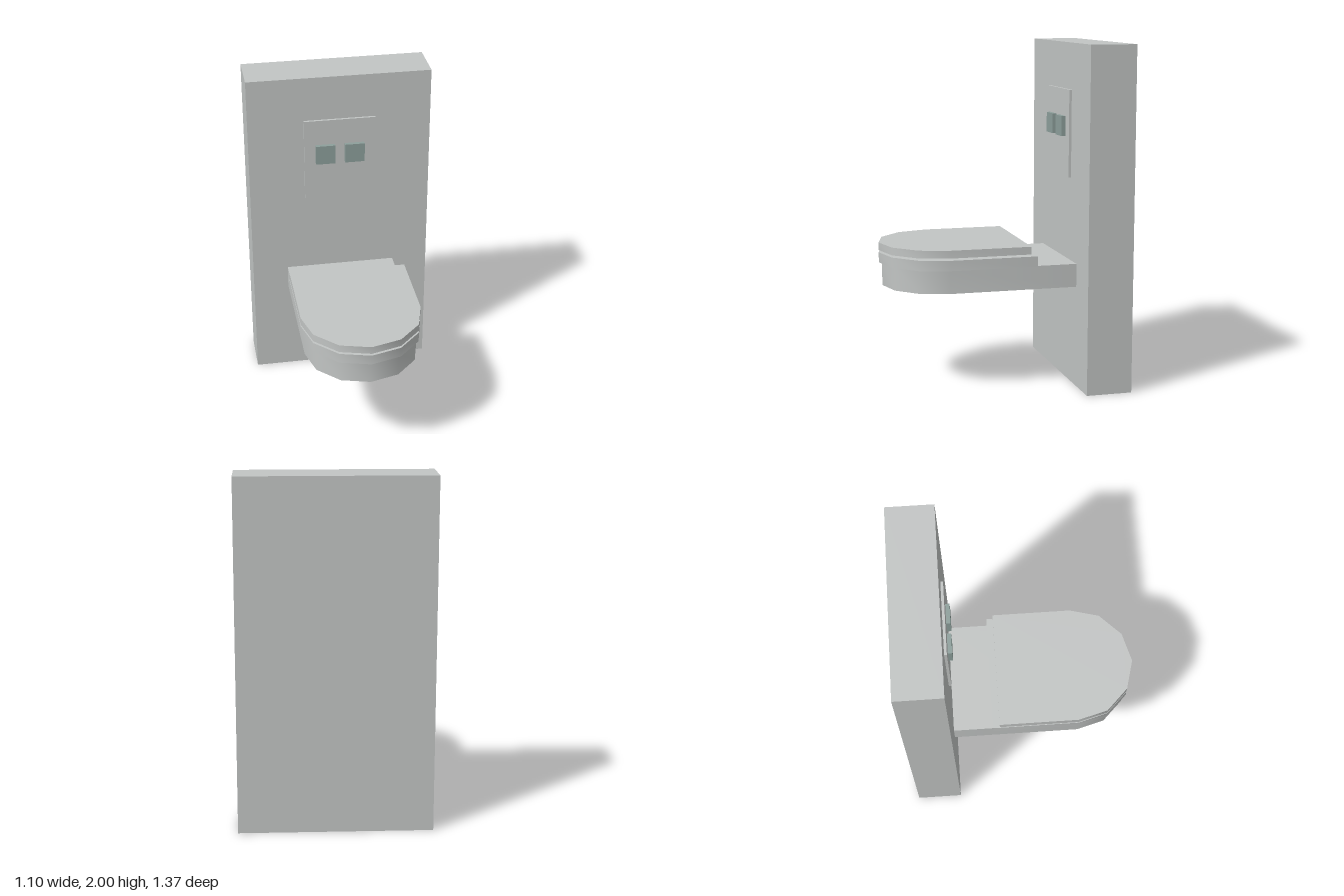
import * as THREE from 'three';
import { toCreasedNormals } from 'three/addons/utils/BufferGeometryUtils.js';

const ceramic = new THREE.MeshStandardMaterial({ color: 0xc2c5c4 });
ceramic.name = 'pale grey';
const buttonGrey = new THREE.MeshStandardMaterial({ color: 0x8d9f9b });
buttonGrey.name = 'green grey';

const ARC_Z = 0.335; // centre of the rounded front

function addMesh(group, name, geometry, material) {
  const mesh = new THREE.Mesh(geometry, material);
  mesh.name = name;
  group.add(mesh);
  return mesh;
}

// Box given by its minimum and maximum corners
function addBox(group, name, min, max, material) {
  const size = max.map((v, i) => v - min[i]);
  const mesh = addMesh(group, name, new THREE.BoxGeometry(...size), material);
  mesh.position.set(...max.map((v, i) => (v + min[i]) / 2));
}

// Horizontal slab with a straight back and a six-sided half-round front
function addSlab(group, name, radius, backZ, bottom, top) {
  const shape = new THREE.Shape();
  shape.moveTo(radius, -backZ);
  shape.lineTo(-radius, -backZ);
  for (let i = 0; i <= 6; i++) {
    const a = Math.PI + (i * Math.PI) / 6;
    shape.lineTo(radius * Math.cos(a), -ARC_Z + radius * Math.sin(a));
  }
  shape.closePath();
  const geometry = new THREE.ExtrudeGeometry(shape, { depth: top - bottom, bevelEnabled: false });
  geometry.rotateX(-Math.PI / 2);
  geometry.translate(0, bottom, 0);
  addMesh(group, name, toCreasedNormals(geometry, 0.6), ceramic);
}

export function createModel() {
  const model = new THREE.Group();
  model.name = 'wallHungToilet';

  // Wall panel
  addBox(model, 'wallPanel', [-0.548, 0, -0.685], [0.548, 2, -0.415], ceramic);

  // Flush plate and its two buttons
  addBox(model, 'flushPlate', [-0.215, 1.22, -0.415], [0.215, 1.73, -0.4], ceramic);
  addBox(model, 'rightButton', [-0.148, 1.455, -0.4], [-0.031, 1.573, -0.376], buttonGrey);
  addBox(model, 'leftButton', [0.028, 1.455, -0.4], [0.146, 1.573, -0.376], buttonGrey);

  // Bowl, seat and lid
  addSlab(model, 'bowl', 0.333, -0.415, 0.594, 0.73);
  addSlab(model, 'seat', 0.352, -0.177, 0.73, 0.79);
  addSlab(model, 'lid', 0.352, -0.138, 0.803, 0.848);

  // Round spacer between seat and lid
  const spacer = addMesh(model, 'lidSpacer', new THREE.CylinderGeometry(0.21, 0.21, 0.03, 12), ceramic);
  spacer.position.set(0, 0.795, ARC_Z);

  return model;
}
